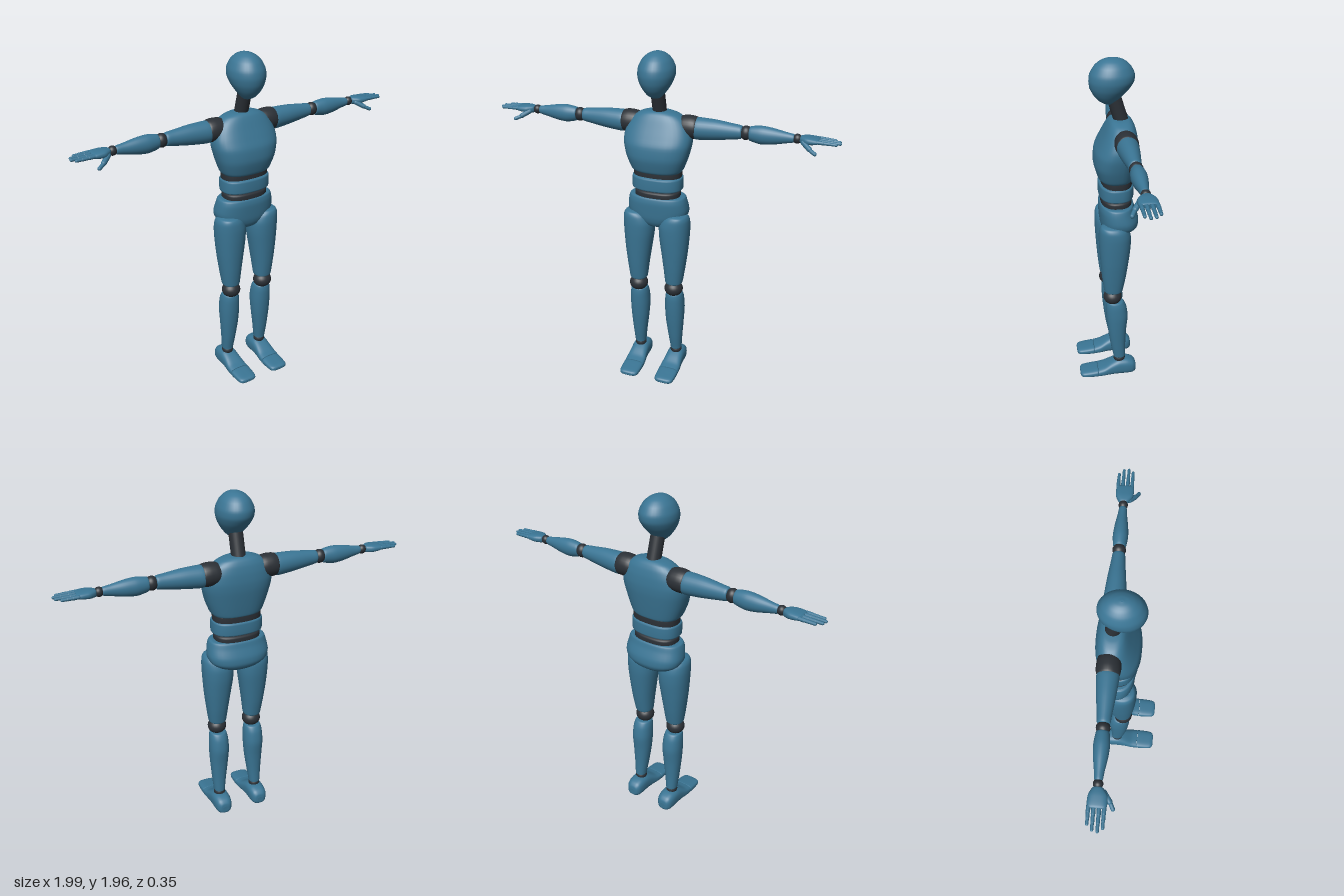
import * as THREE from 'three';

const blue = new THREE.MeshStandardMaterial({ color: 0x3a7594 });
blue.name = 'blue shell';
const dark = new THREE.MeshStandardMaterial({ color: 0x2b3036 });
dark.name = 'dark joint';

// Smooth closed body through cross-sections [t, uCentre, uHalf, vMin, vMax] along an axis.
// Axis y: u = x, v = z. Axis x: u = z, v = y. Axis z: u = x, v = y.
function loft(axis, rows, power = 2, sub = 4, seg = 36) {
  const place = {
    y: (t, u, v) => [u, t, v],
    x: (t, u, v) => [t, v, u],
    z: (t, u, v) => [u, v, t],
  }[axis];
  const flip = (axis === 'z') !== (rows[rows.length - 1][0] < rows[0][0]);
  const curve = (pick) => new THREE.CatmullRomCurve3(
    rows.map((r) => new THREE.Vector3(...pick(r))), false, 'catmullrom', 0.4);
  const cu = curve((r) => [r[0], r[1], r[2]]);
  const cv = curve((r) => [r[0], r[3], r[4]]);
  const n = (rows.length - 1) * sub;
  const pos = [], idx = [];
  const tri = (a, b, c) => (flip ? idx.push(a, c, b) : idx.push(a, b, c));
  const round = (c) => Math.sign(c) * Math.abs(c) ** (2 / power);
  const ring = (i) => {
    const a = cu.getPoint(i / n), b = cv.getPoint(i / n);
    for (let j = 0; j < seg; j++) {
      const th = (j / seg) * Math.PI * 2;
      pos.push(...place(a.x, a.y + a.z * round(Math.cos(th)),
        (b.y + b.z) / 2 + ((b.z - b.y) / 2) * round(Math.sin(th))));
    }
    return [a.x, a.y, (b.y + b.z) / 2];
  };
  for (let i = 0; i <= n; i++) ring(i);
  for (let i = 0; i < n; i++) {
    for (let j = 0; j < seg; j++) {
      const a = i * seg + j, b = i * seg + (j + 1) % seg;
      tri(a, a + seg, b);
      tri(b, a + seg, b + seg);
    }
  }
  // Flat end caps with their own vertices
  for (const end of [0, n]) {
    const start = pos.length / 3;
    const centre = ring(end);
    pos.push(...place(...centre));
    for (let j = 0; j < seg; j++) {
      const a = start + j, b = start + (j + 1) % seg;
      if (end) tri(a, start + seg, b);
      else tri(a, b, start + seg);
    }
  }
  const g = new THREE.BufferGeometry();
  g.setAttribute('position', new THREE.Float32BufferAttribute(pos, 3));
  g.setIndex(idx);
  g.computeVertexNormals();
  return g;
}

function add(parent, name, geometry, material) {
  const mesh = new THREE.Mesh(geometry, material);
  mesh.name = name;
  parent.add(mesh);
  return mesh;
}

function ball(parent, name, p, rx, ry, rz) {
  const m = add(parent, name, new THREE.SphereGeometry(1, 28, 18), dark);
  m.position.set(...p);
  m.scale.set(rx, ry, rz);
}

// Capsule or cylinder between two points
function rod(parent, name, a, b, r, material, capsule = true) {
  const p = new THREE.Vector3(...a), q = new THREE.Vector3(...b);
  const d = q.clone().sub(p), len = d.length();
  const g = capsule ? new THREE.CapsuleGeometry(r, len, 5, 12) : new THREE.CylinderGeometry(r, r, len, 28);
  const m = add(parent, name, g, material);
  m.position.copy(p).add(q).multiplyScalar(0.5);
  m.quaternion.setFromUnitVectors(new THREE.Vector3(0, 1, 0), d.normalize());
}

// Flat-ended disc with rounded rim
const disc = (y0, y1, hx, back, front, e) => loft('y', [
  [y0, 0, hx - e, back + e, front - e], [y0 + e * 0.4, 0, hx - e * 0.3, back + e * 0.3, front - e * 0.3],
  [y0 + e, 0, hx, back, front], [y1 - e, 0, hx, back, front],
  [y1 - e * 0.4, 0, hx - e * 0.3, back + e * 0.3, front - e * 0.3], [y1, 0, hx - e, back + e, front - e],
], 2.5, 2);

function buildTrunk(group) {
  add(group, 'head', loft('y', [
    [1.712, 0, 0.008, -0.028, -0.012], [1.717, 0, 0.024, -0.042, 0.01], [1.735, 0, 0.045, -0.06, 0.042],
    [1.765, 0, 0.068, -0.09, 0.068], [1.8, 0, 0.088, -0.122, 0.086], [1.84, 0, 0.1, -0.147, 0.094],
    [1.88, 0, 0.098, -0.149, 0.088], [1.92, 0, 0.079, -0.128, 0.065], [1.945, 0, 0.054, -0.1, 0.036],
    [1.958, 0, 0.029, -0.07, 0.008], [1.963, 0, 0.006, -0.038, -0.022],
  ]), blue);
  rod(group, 'neck', [0, 1.58, -0.092], [0, 1.75, -0.04], 0.039, dark, false);
  add(group, 'chest', loft('y', [
    [1.292, 0, 0.128, -0.13, 0.035], [1.297, 0, 0.14, -0.14, 0.046], [1.315, 0, 0.152, -0.145, 0.055],
    [1.38, 0, 0.176, -0.156, 0.072], [1.45, 0, 0.193, -0.166, 0.067], [1.5, 0, 0.194, -0.168, 0.045],
    [1.55, 0, 0.178, -0.163, 0.02], [1.59, 0, 0.15, -0.153, 0.0], [1.615, 0, 0.115, -0.14, -0.015],
    [1.628, 0, 0.075, -0.125, -0.03], [1.632, 0, 0.04, -0.11, -0.05],
  ], 2.5), blue);
  add(group, 'upperWaistJoint', disc(1.25, 1.305, 0.138, -0.14, 0.033, 0.01), dark);
  add(group, 'abdomen', disc(1.183, 1.266, 0.146, -0.149, 0.046, 0.014), blue);
  add(group, 'lowerWaistJoint', disc(1.13, 1.178, 0.132, -0.14, 0.034, 0.012), dark);
  add(group, 'pelvis', loft('y', [
    [1.146, 0, 0.15, -0.14, 0.03], [1.14, 0, 0.163, -0.148, 0.04], [1.11, 0, 0.172, -0.157, 0.045],
    [1.06, 0, 0.179, -0.176, 0.042], [1.02, 0, 0.168, -0.178, 0.038], [0.99, 0, 0.13, -0.162, 0.03],
    [0.965, 0, 0.07, -0.125, 0.015], [0.953, 0, 0.03, -0.085, -0.01],
  ], 2.4), blue);
}

function buildArm(group, s) {
  const z = -0.086;
  // Round tube along x from [x, centreY, radiusY, radiusZ]
  const tube = (rows, p) => loft('x', rows.map(([x, y, ry, rz]) => [x * s, z, rz, y - ry, y + ry]), p, 4, 28);
  add(group, 'shoulderJoint', tube([
    [0.1, 1.55, 0.05, 0.05], [0.14, 1.551, 0.062, 0.062], [0.18, 1.551, 0.065, 0.064],
    [0.21, 1.55, 0.061, 0.06], [0.222, 1.55, 0.05, 0.05],
  ]), dark);
  add(group, 'upperArm', tube([
    [0.2, 1.547, 0.05, 0.048], [0.205, 1.547, 0.059, 0.056], [0.23, 1.547, 0.062, 0.058],
    [0.32, 1.55, 0.056, 0.05], [0.42, 1.552, 0.043, 0.038], [0.46, 1.553, 0.037, 0.034], [0.468, 1.553, 0.028, 0.026],
  ]), blue);
  ball(group, 'elbow', [0.488 * s, 1.553, z], 0.034, 0.039, 0.036);
  add(group, 'forearm', tube([
    [0.507, 1.552, 0.03, 0.026], [0.513, 1.552, 0.04, 0.034], [0.57, 1.55, 0.05, 0.041], [0.63, 1.55, 0.045, 0.037],
    [0.7, 1.551, 0.031, 0.026], [0.742, 1.552, 0.023, 0.021], [0.748, 1.552, 0.016, 0.015],
  ]), blue);
  ball(group, 'wrist', [0.763 * s, 1.553, z], 0.025, 0.026, 0.025);
  add(group, 'palm', loft('x', [
    [0.778, -0.085, 0.018, 1.538, 1.568], [0.785, -0.085, 0.028, 1.533, 1.573], [0.815, -0.083, 0.046, 1.532, 1.576],
    [0.85, -0.083, 0.049, 1.536, 1.574], [0.872, -0.083, 0.047, 1.541, 1.571], [0.88, -0.083, 0.041, 1.547, 1.566],
  ].map((r) => [r[0] * s, ...r.slice(1)]), 2.6, 3, 28), blue);
  // Four fingers, three short pieces each, from back to front
  [[-0.122, 0.958], [-0.097, 0.984], [-0.071, 0.989], [-0.047, 0.972]].forEach(([fz, tip]) => {
    for (let k = 0; k < 3; k++) {
      const step = (tip - 0.872) / 3, r = 0.0105 - k * 0.0012, x = 0.872 + step * k;
      rod(group, 'finger', [x * s, 1.557 - k * 0.001, fz], [(x + step - 0.003) * s, 1.556 - k * 0.001, fz], r, blue);
    }
  });
  rod(group, 'thumbBase', [0.8 * s, 1.545, -0.055], [0.838 * s, 1.522, -0.026], 0.014, blue);
  rod(group, 'thumbTip', [0.845 * s, 1.517, -0.021], [0.87 * s, 1.506, -0.008], 0.0105, blue);
}

function buildLeg(group, s) {
  const side = (rows) => rows.map((r) => [r[0], r[1] * s, ...r.slice(2)]);
  add(group, 'thigh', loft('y', side([
    [1.046, 0.13, 0.03, -0.06, 0.02], [1.038, 0.127, 0.056, -0.088, 0.042], [1.015, 0.118, 0.077, -0.11, 0.052],
    [0.97, 0.109, 0.089, -0.125, 0.056], [0.9, 0.108, 0.087, -0.125, 0.054], [0.8, 0.111, 0.076, -0.114, 0.047],
    [0.7, 0.112, 0.063, -0.1, 0.038], [0.62, 0.111, 0.053, -0.085, 0.028], [0.603, 0.111, 0.049, -0.08, 0.024],
    [0.598, 0.111, 0.04, -0.07, 0.014],
  ]), 2.2), blue);
  ball(group, 'knee', [0.111 * s, 0.562, -0.024], 0.055, 0.047, 0.054);
  add(group, 'shin', loft('y', side([
    [0.53, 0.111, 0.038, -0.075, 0.002], [0.525, 0.111, 0.048, -0.088, 0.012], [0.49, 0.111, 0.055, -0.105, 0.016],
    [0.42, 0.111, 0.058, -0.115, 0.013], [0.33, 0.112, 0.053, -0.107, 0.004], [0.22, 0.115, 0.042, -0.102, -0.012],
    [0.14, 0.117, 0.034, -0.102, -0.028], [0.126, 0.117, 0.032, -0.101, -0.03], [0.121, 0.117, 0.025, -0.093, -0.038],
  ]), 2.2), blue);
  ball(group, 'ankle', [0.117 * s, 0.11, -0.066], 0.034, 0.03, 0.035);
  add(group, 'foot', loft('z', side([
    [-0.167, 0.116, 0.018, 0.022, 0.055], [-0.163, 0.116, 0.032, 0.01, 0.075], [-0.145, 0.116, 0.046, 0.001, 0.094],
    [-0.11, 0.116, 0.052, 0, 0.106], [-0.06, 0.116, 0.053, 0, 0.107], [-0.015, 0.115, 0.055, 0, 0.088],
    [0.03, 0.114, 0.06, 0, 0.062], [0.067, 0.113, 0.061, 0, 0.051],
  ]), 2.8), blue);
  add(group, 'toe', loft('z', side([
    [0.069, 0.113, 0.057, 0.003, 0.045], [0.073, 0.113, 0.061, 0, 0.049], [0.12, 0.113, 0.06, 0, 0.043],
    [0.155, 0.113, 0.056, 0.001, 0.038], [0.17, 0.113, 0.047, 0.005, 0.033], [0.176, 0.113, 0.03, 0.012, 0.026],
  ]), 3), blue);
}

export function createModel() {
  const model = new THREE.Group();
  model.name = 'jointedFigure';
  const part = (name) => {
    const g = new THREE.Group();
    g.name = name;
    model.add(g);
    return g;
  };
  buildTrunk(part('trunk'));
  for (const [name, s] of [['left', 1], ['right', -1]]) {
    buildArm(part(name + 'Arm'), s);
    buildLeg(part(name + 'Leg'), s);
  }
  return model;
}
